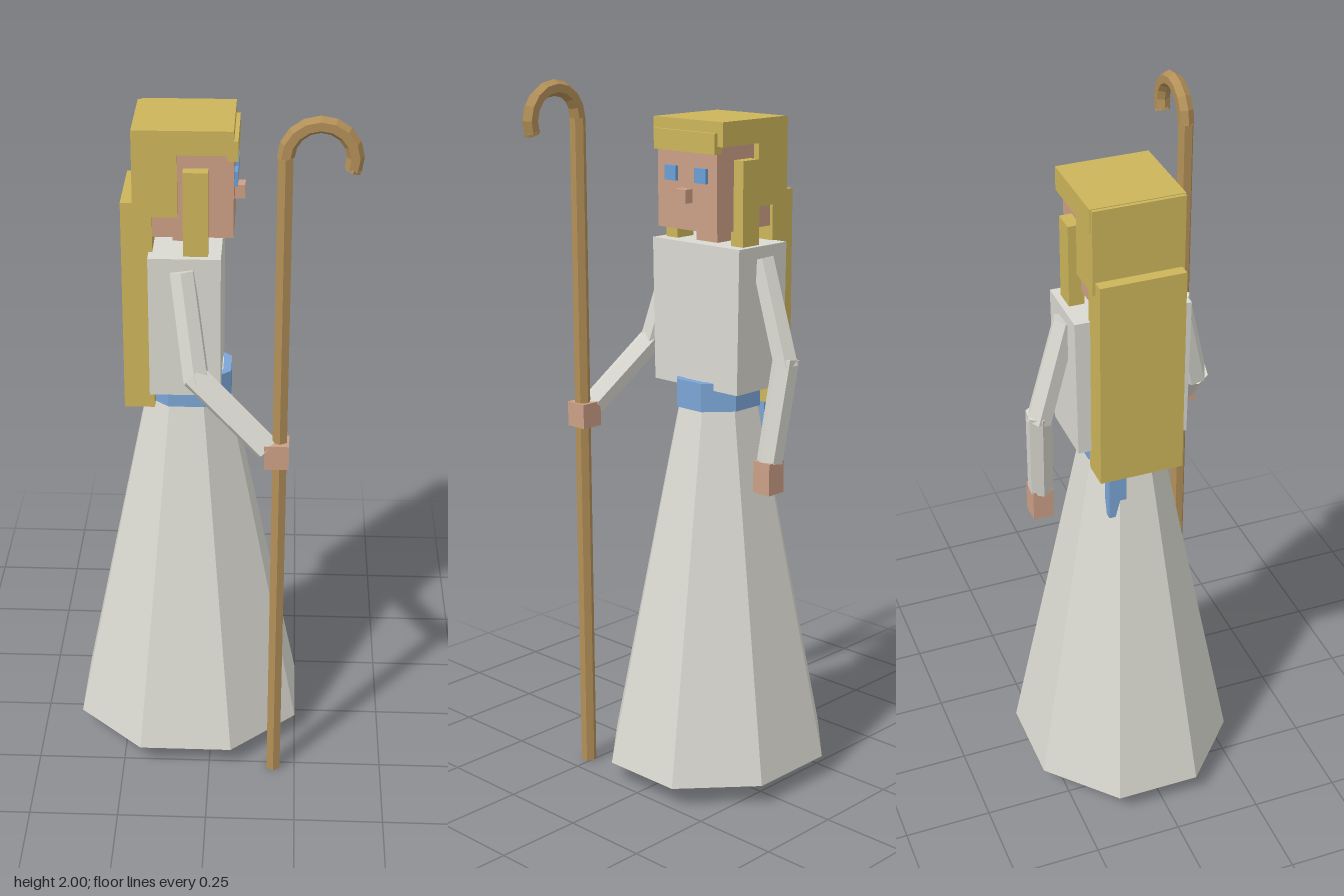
import * as THREE from 'three';

const mat = (name, color) => {
  const m = new THREE.MeshStandardMaterial({ color, flatShading: true });
  m.name = name;
  return m;
};

export function createModel() {
  const group = new THREE.Group();
  const robe = mat('robe', 0xdad9d1), skin = mat('skin', 0xcb9f86), hair = mat('hair', 0xcdb55b);
  const blue = mat('sash blue', 0x7ba5d6), eye = mat('eye blue', 0x6c9fd4);
  const boot = mat('boot brown', 0x5c3d30), wood = mat('wood', 0xb28f58);
  const midZ = -0.018;

  const add = (name, geometry, material) => {
    const mesh = new THREE.Mesh(geometry, material);
    mesh.name = name;
    group.add(mesh);
    return mesh;
  };
  // Box given by its limits on each axis
  const box = (name, material, [x0, x1], [y0, y1], [z0, z1]) => {
    const g = new THREE.BoxGeometry(x1 - x0, y1 - y0, z1 - z0);
    g.translate((x0 + x1) / 2, (y0 + y1) / 2, (z0 + z1) / 2);
    return add(name, g, material);
  };
  // Eight-sided tapered ring around the body, slightly narrower in z
  const octagon = (name, material, top, bottom, y0, y1, squash) => {
    const g = new THREE.CylinderGeometry(top, bottom, y1 - y0, 8);
    g.rotateY(Math.PI / 8).scale(1, 1, squash).translate(-0.069, (y0 + y1) / 2, midZ);
    return add(name, g, material);
  };
  // Six-sided limb between two points
  const limb = (name, a, b, r0, r1) => {
    const p = new THREE.Vector3(...a), q = new THREE.Vector3(...b);
    const dir = q.clone().sub(p);
    const mesh = add(name, new THREE.CylinderGeometry(r1, r0, dir.length(), 6), robe);
    mesh.position.copy(p).add(q).multiplyScalar(0.5);
    mesh.quaternion.setFromUnitVectors(new THREE.Vector3(0, 1, 0), dir.normalize());
  };

  // Skirt, sash and its hanging end
  octagon('skirt', robe, 0.106, 0.345, 0.06, 1.18, 0.917);
  octagon('sash', blue, 0.13, 0.13, 1.1, 1.18, 0.925);
  box('sashTail', blue, [-0.202, -0.17], [0.95, 1.14], [-0.1, -0.05]);

  // Torso, a little narrower at the waist
  const torso = box('torso', robe, [-0.165, 0.026], [1.16, 1.56], [-0.179, 0.143]);
  const pos = torso.geometry.attributes.position;
  for (let i = 0; i < pos.count; i++) {
    if (pos.getY(i) < 1.3) pos.setZ(i, midZ + (pos.getZ(i) - midZ) * 0.965);
  }

  // Head and face
  box('neck', skin, [-0.107, -0.02], [1.54, 1.62], [-0.057, 0.021]);
  box('head', skin, [-0.155, 0.057], [1.6, 1.84], [-0.127, 0.091]);
  box('nose', skin, [0.05, 0.085], [1.675, 1.712], [-0.038, 0.002]);
  for (const s of [-1, 1]) {
    const z = midZ + s * 0.055;
    box('eye', eye, [0.057, 0.0665], [1.73, 1.77], [z - 0.021, z + 0.021]);
  }

  // Hair: cap, back of the cap, fringe, long fall and side locks
  box('hairCap', hair, [-0.195, 0.057], [1.83, 1.895], [-0.147, 0.107]);
  box('hairBack', hair, [-0.205, -0.088], [1.66, 1.893], [-0.144, 0.104]);
  box('fringe', hair, [0.04, 0.068], [1.81, 1.865], [-0.128, 0.095]);
  box('longHair', hair, [-0.237, -0.155], [1.1, 1.695], [-0.137, 0.097]);
  for (const s of [-1, 1]) {
    const a = midZ + s * 0.1, b = midZ + s * 0.143;
    box('sideLock', hair, [-0.073, -0.008], [1.56, 1.79], [Math.min(a, b), Math.max(a, b)]);
  }

  // Arm holding the staff
  limb('staffUpperArm', [-0.075, 1.525, 0.14], [-0.035, 1.24, 0.212], 0.035, 0.037);
  limb('staffForearm', [-0.045, 1.26, 0.21], [0.155, 1.075, 0.27], 0.037, 0.036);
  box('staffHand', skin, [0.147, 0.213], [1.027, 1.097], [0.236, 0.3]);

  // Hanging arm
  limb('freeUpperArm', [-0.075, 1.525, -0.172], [-0.083, 1.235, -0.255], 0.035, 0.037);
  limb('freeForearm', [-0.083, 1.26, -0.254], [-0.035, 0.975, -0.24], 0.037, 0.036);
  box('freeHand', skin, [-0.06, 0.0], [0.89, 0.98], [-0.27, -0.212]);

  // Boots
  for (const s of [-1, 1]) {
    const z = midZ - 0.003 + s * 0.077;
    box('boot', boot, [-0.107, 0.083], [0.01, 0.08], [z - 0.038, z + 0.038]);
  }

  // Staff with a curved crook
  const hookY = 1.889, hookR = 0.085, tip = -Math.PI / 9;
  const shaft = add('staffShaft', new THREE.CylinderGeometry(0.022, 0.022, hookY, 6), wood);
  shaft.position.set(0.188, hookY / 2, 0.266);
  const hook = add('staffCrook', new THREE.TorusGeometry(hookR, 0.022, 6, 9, Math.PI - tip), wood);
  hook.position.set(0.188 + hookR, hookY, 0.266);
  hook.rotation.z = tip;
  const end = add('crookEnd', new THREE.CylinderGeometry(0.022, 0.022, 0.008, 6), wood);
  end.position.set(0.188 + hookR + hookR * Math.cos(tip), hookY + hookR * Math.sin(tip), 0.266);
  end.rotation.z = tip;

  return group;
}
